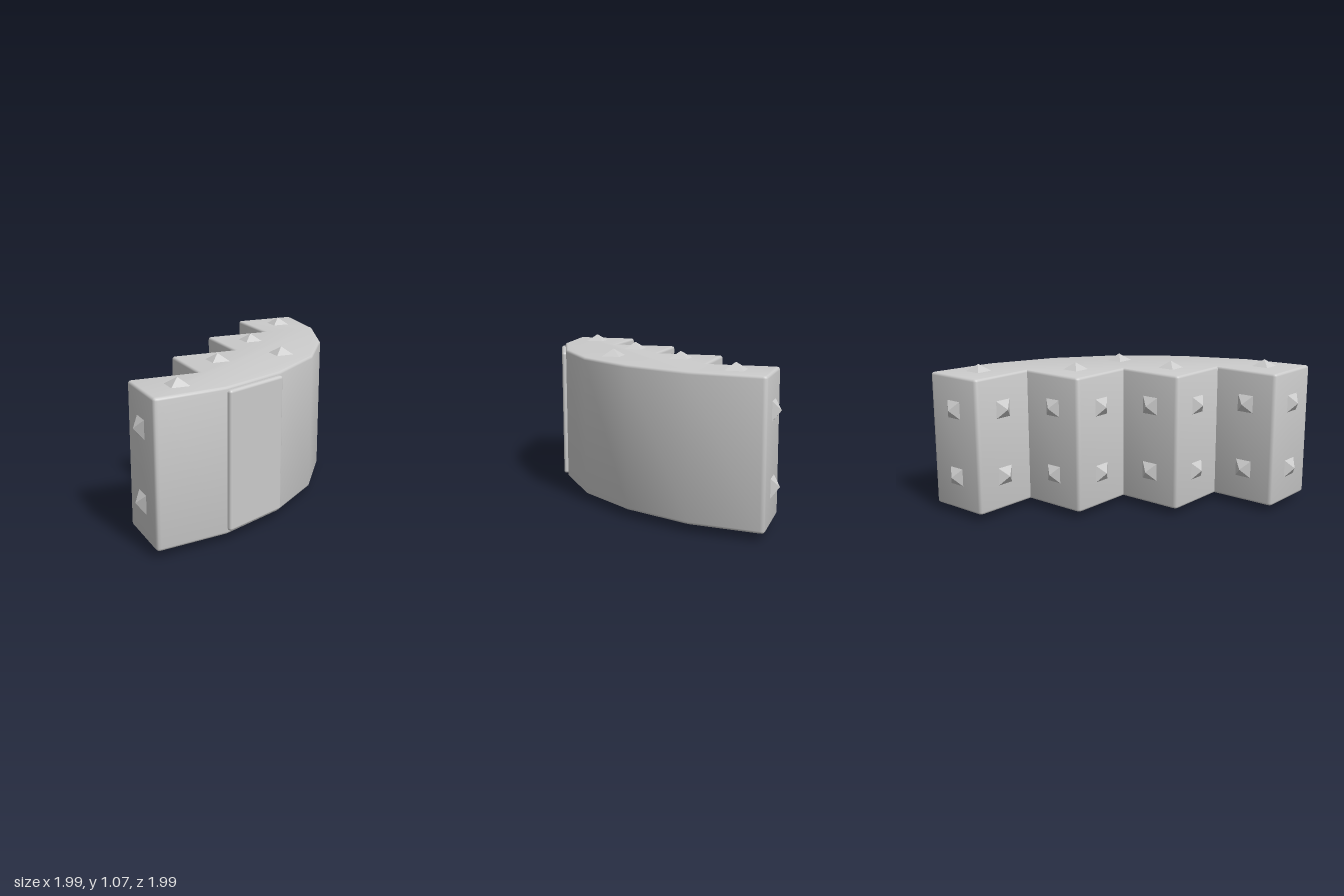
import * as THREE from 'three';
import { toCreasedNormals } from 'three/addons/utils/BufferGeometryUtils.js';
import { RoundedBoxGeometry } from 'three/addons/geometries/RoundedBoxGeometry.js';

const grey = new THREE.MeshStandardMaterial({ color: 0xcccccc });
const BOTTOM = 0.055, TOP = 1.025, BEVEL = 0.018, CORNER = 0.03;

// Stepped back and faceted front, as [x, z, rounded corner]
const OUTLINE = [
  [-0.95, 0.995, 1], [-0.45, 0.93, 0], [0.02, 0.73, 0], [0.43, 0.425, 0],
  [0.73, 0.02, 0], [0.93, -0.45, 0], [0.995, -0.95, 1], [0.515, -0.95, 1],
  [0.515, -0.465, 0], [0.025, -0.465, 1], [0.025, 0.025, 0], [-0.463, 0.025, 1],
  [-0.463, 0.515, 0], [-0.95, 0.515, 1],
];

function bodyGeometry() {
  const points = OUTLINE.map(([x, z]) => new THREE.Vector2(x, -z));
  const shape = new THREE.Shape();
  const n = points.length;
  points.forEach((p, i) => {
    const toward = (q) => q.clone().sub(p).setLength(CORNER).add(p);
    const rounded = OUTLINE[i][2];
    const start = rounded ? toward(points[(i + n - 1) % n]) : p;
    if (i === 0) shape.moveTo(start.x, start.y);
    else shape.lineTo(start.x, start.y);
    if (rounded) {
      const end = toward(points[(i + 1) % n]);
      shape.quadraticCurveTo(p.x, p.y, end.x, end.y);
    }
  });
  shape.closePath();
  const geometry = new THREE.ExtrudeGeometry(shape, {
    depth: TOP - BOTTOM - 2 * BEVEL, curveSegments: 3,
    bevelThickness: BEVEL, bevelSize: BEVEL, bevelOffset: -BEVEL, bevelSegments: 3,
  });
  geometry.rotateX(-Math.PI / 2).translate(0, BOTTOM + BEVEL, 0);
  return toCreasedNormals(geometry, 0.7);
}

// Square pyramid with its base centre at the origin, pointing up
function studGeometry() {
  const geometry = new THREE.ConeGeometry(0.126 / Math.SQRT2, 0.05, 4, 1, true);
  geometry.rotateY(Math.PI / 4).translate(0, 0.025, 0);
  return toCreasedNormals(geometry, 0.1);
}

export function createModel() {
  const group = new THREE.Group();
  const add = (name, geometry) => {
    const mesh = new THREE.Mesh(geometry, grey);
    mesh.name = name;
    group.add(mesh);
    return mesh;
  };

  add('steppedBody', bodyGeometry());

  // Raised panel on one front facet
  const panel = add('frontPanel', new RoundedBoxGeometry(0.503, 0.925, 0.052, 3, 0.018));
  panel.position.set(-0.217, 0.5425, 0.835);
  panel.rotation.y = 0.4;

  // Pyramid studs
  const stud = studGeometry();
  const up = new THREE.Vector3(0, 1, 0);
  const addStud = (name, position, direction) => {
    const mesh = add(name, stud);
    mesh.position.set(...position);
    mesh.quaternion.setFromUnitVectors(up, new THREE.Vector3(...direction));
  };
  const addCapStuds = (x, z) => {
    addStud('topStud', [x, TOP, z], [0, 1, 0]);
    addStud('bottomStud', [x, BOTTOM, z], [0, -1, 0]);
  };

  for (let i = 0; i < 4; i++) {
    const x = -0.708 + i * 0.488;
    const z = 0.755 - i * 0.488;
    addCapStuds(x, z);
    for (const y of [0.298, 0.785]) {
      addStud('backStud', [x, y, z - 0.242], [0, 0, -1]);
      addStud('sideStud', [x - 0.242, y, z], [-1, 0, 0]);
    }
  }
  addCapStuds(0.268, 0.267);

  return group;
}
